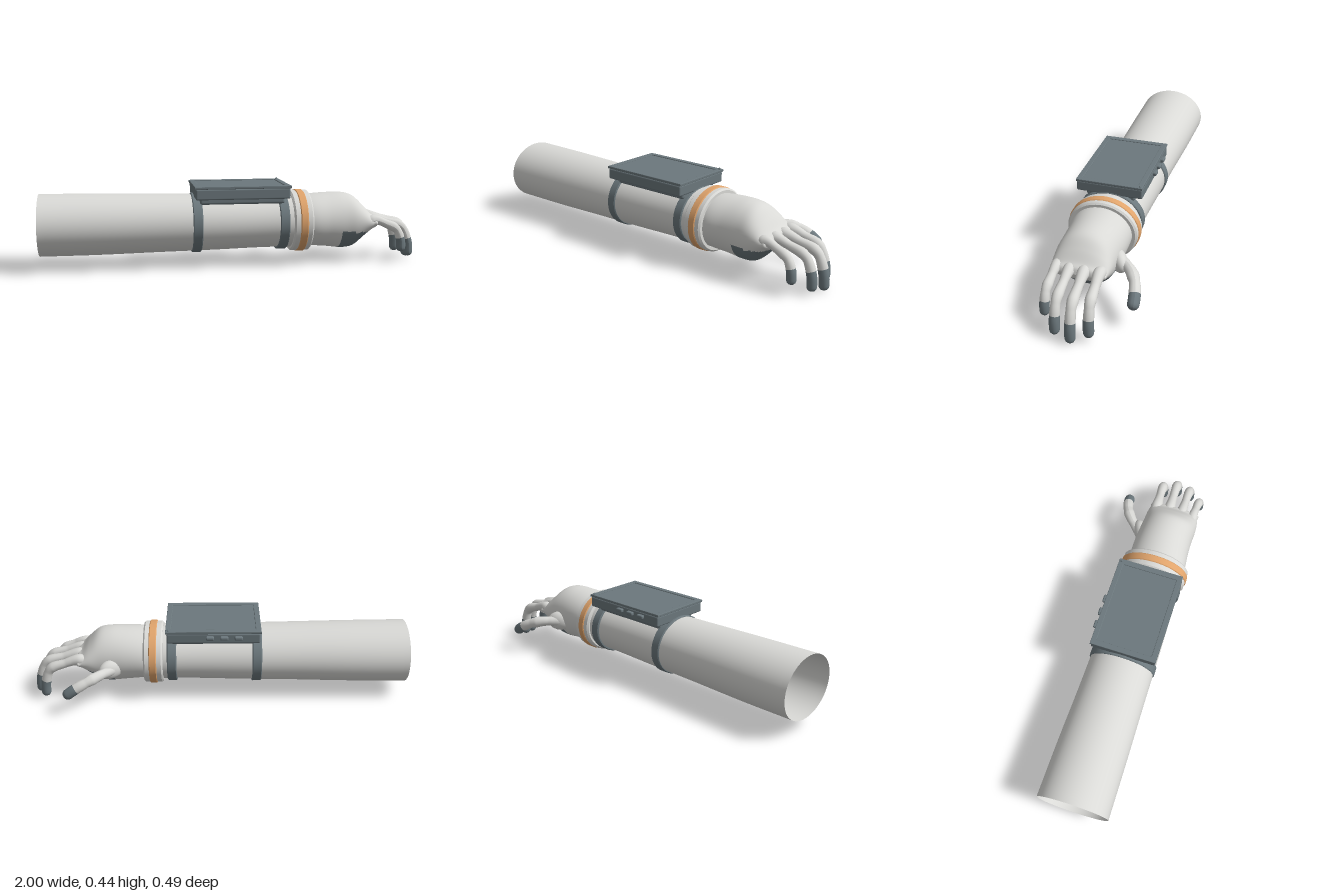
import * as THREE from 'three';
import { toCreasedNormals } from 'three/addons/utils/BufferGeometryUtils.js';
import { RoundedBoxGeometry } from 'three/addons/geometries/RoundedBoxGeometry.js';

const paint = (name, color, side = THREE.FrontSide) => {
  const m = new THREE.MeshStandardMaterial({ color, side });
  m.name = name;
  return m;
};

// Smooth loft along x through oval stations [x, top, bottom, zMin, zMax].
// isDark(x, y) sends a face to the second material.
function loft(stations, steps, isDark = () => false, sides = 64) {
  const curve = (f) => new THREE.CatmullRomCurve3(stations.map(f), false, 'catmullrom', 0.5);
  const heights = curve((s) => new THREE.Vector3(s[0], s[1], s[2]));
  const depths = curve((s) => new THREE.Vector3(s[3], s[4], 0));
  const pos = [], light = [], dark = [];
  for (let i = 0; i <= steps; i++) {
    const h = heights.getPoint(i / steps), d = depths.getPoint(i / steps);
    for (let j = 0; j < sides; j++) {
      const a = (j / sides) * Math.PI * 2;
      pos.push(h.x, (h.y + h.z) / 2 + ((h.y - h.z) / 2) * Math.cos(a),
        (d.x + d.y) / 2 + ((d.y - d.x) / 2) * Math.sin(a));
    }
  }
  for (let i = 0; i < steps; i++) {
    for (let j = 0; j < sides; j++) {
      const a = i * sides + j, b = i * sides + ((j + 1) % sides);
      const c = a + sides, d = b + sides;
      const mid = (k) => (pos[a * 3 + k] + pos[d * 3 + k]) / 2;
      (isDark(mid(0), mid(1)) ? dark : light).push(a, b, c, b, d, c);
    }
  }
  const g = new THREE.BufferGeometry();
  g.setAttribute('position', new THREE.Float32BufferAttribute(pos, 3));
  g.setIndex([...light, ...dark]);
  g.addGroup(0, light.length, 0);
  g.addGroup(light.length, dark.length, 1);
  g.computeVertexNormals();
  return g;
}

// Oval band around the arm, from x0 to x1
function band(x0, x1, ry, rz, thick, bevel = 0.004) {
  const inner = 1 - thick / ry, b = bevel / ry;
  const profile = [[inner, x0], [1 - b, x0], [1, x0 + bevel], [1, x1 - bevel], [1 - b, x1], [inner, x1], [inner, x0]]
    .map(([r, x]) => new THREE.Vector2(r, x));
  const g = new THREE.LatheGeometry(profile, 72);
  g.rotateZ(-Math.PI / 2);
  g.scale(1, ry, rz);
  g.translate(0, 0.223, 0.056);
  return toCreasedNormals(g, 0.6);
}

// Jointed digit with a rounded end; the last part takes the second material
function digit(points, width, split) {
  const curve = new THREE.CatmullRomCurve3(points.map((p) => new THREE.Vector3(...p)));
  const segs = 64, sides = 16, length = curve.getLength();
  const joints = [1.05, 1.1, 1.2, 1, 0.88, 0.95, 1.05, 0.9, 0.98, 1, 1, 0.95];
  const g = new THREE.TubeGeometry(curve, segs, 1, sides);
  const pos = g.attributes.position, nor = g.attributes.normal;
  for (let i = 0; i <= segs; i++) {
    const u = i / segs, f = u * (joints.length - 1), k = Math.min(Math.floor(f), joints.length - 2);
    let r = width * THREE.MathUtils.lerp(joints[k], joints[k + 1], f - k);
    const left = (1 - u) * length;
    if (left < r) r *= Math.sqrt(Math.max(0, 1 - (1 - left / r) ** 2));
    const c = curve.getPointAt(u);
    for (let j = 0; j <= sides; j++) {
      const n = i * (sides + 1) + j;
      pos.setXYZ(n, c.x + nor.getX(n) * r, c.y + nor.getY(n) * r, c.z + nor.getZ(n) * r);
    }
  }
  g.computeVertexNormals();
  const cut = Math.round(split * segs) * sides * 6;
  g.addGroup(0, cut, 0);
  g.addGroup(cut, g.index.count - cut, 1);
  return g;
}

export function createModel() {
  const root = new THREE.Group();
  root.name = 'armWithWristComputer';
  const white = paint('offWhiteFabric', 0xd9d9d6, THREE.DoubleSide);
  const grey = paint('slateGrey', 0x6c787d);
  const orange = paint('orangeTrim', 0xe0a46c);
  const add = (name, geometry, material, parent = root) => {
    const m = new THREE.Mesh(geometry, material);
    m.name = name;
    parent.add(m);
    return m;
  };

  // Sleeve, open at both ends
  add('sleeve', loft([
    [-1, 0.385, 0.065, -0.135, 0.241],
    [-0.7, 0.382, 0.066, -0.129, 0.237],
    [-0.4, 0.376, 0.072, -0.119, 0.231],
    [-0.1, 0.37, 0.077, -0.113, 0.227],
    [0.15, 0.366, 0.083, -0.108, 0.222],
    [0.33, 0.37, 0.082, -0.108, 0.222],
  ], 40), [white, grey]);

  // Straps and wrist cuff
  add('rearStrap', band(-0.225, -0.175, 0.156, 0.178, 0.012), grey);
  add('frontStrap', band(0.225, 0.275, 0.151, 0.174, 0.014), grey);
  add('wristCuff', band(0.298, 0.4, 0.161, 0.181, 0.022, 0.008), white);
  add('cuffStripe', band(0.33, 0.37, 0.165, 0.186, 0.008), orange);

  // Wrist computer
  const computer = new THREE.Group();
  computer.name = 'wristComputer';
  root.add(computer);
  const block = (name, w, h, d, r, x, y, z) =>
    add(name, new RoundedBoxGeometry(w, h, d, 3, r), grey, computer).position.set(x, y, z);
  block('mount', 0.44, 0.045, 0.256, 0.012, 0.033, 0.353, 0.058);
  block('case', 0.485, 0.055, 0.345, 0.008, 0.03, 0.388, 0.058);
  const lid = new THREE.Shape();
  const rect = (path, w, h) => path.moveTo(-w, -h).lineTo(w, -h).lineTo(w, h).lineTo(-w, h).closePath();
  rect(lid, 0.245, 0.17);
  const opening = new THREE.Path();
  rect(opening, 0.222, 0.148);
  lid.holes.push(opening);
  const frame = new THREE.ExtrudeGeometry(lid, {
    depth: 0.008, bevelEnabled: true, bevelSize: 0.003, bevelThickness: 0.003, bevelSegments: 2,
  });
  frame.rotateX(-Math.PI / 2);
  add('screenFrame', frame, grey, computer).position.set(0.03, 0.4175, 0.058);
  add('screen', new THREE.BoxGeometry(0.45, 0.008, 0.302), grey, computer).position.set(0.03, 0.42, 0.058);
  for (const x of [-0.1, -0.026, 0.048]) block('sideButton', 0.042, 0.02, 0.03, 0.007, x, 0.394, -0.117);
  add('indicator', new THREE.SphereGeometry(0.006, 16, 10), grey, computer).position.set(0.264, 0.43, -0.101);

  // Gloved hand with a dark palm
  const hand = new THREE.Group();
  hand.name = 'hand';
  root.add(hand);
  add('palm', loft([
    [0.35, 0.355, 0.09, -0.092, 0.205],
    [0.42, 0.364, 0.086, -0.1, 0.213],
    [0.5, 0.369, 0.079, -0.1, 0.206],
    [0.58, 0.369, 0.07, -0.095, 0.203],
    [0.64, 0.354, 0.08, -0.09, 0.205],
    [0.69, 0.31, 0.125, -0.087, 0.202],
    [0.73, 0.265, 0.165, -0.08, 0.195],
    [0.755, 0.245, 0.188, -0.07, 0.185],
    [0.765, 0.217, 0.215, 0.05, 0.06],
  ], 64, (x, y) => x > 0.56 && y < 0.17), [white, grey], hand);

  // Curled fingers: [name, knuckle z, tip z, tip x, tip y, radius]
  const fingers = [
    ['indexFinger', -0.047, -0.057, 0.935, 0.016, 0.026],
    ['middleFinger', 0.026, 0.018, 0.975, 0, 0.026],
    ['ringFinger', 0.098, 0.099, 0.957, 0.017, 0.025],
    ['littleFinger', 0.165, 0.172, 0.89, 0.057, 0.024],
  ];
  for (const [name, z0, z1, x, y, r] of fingers) {
    const at = (k) => 0.745 + (x - 0.745) * k;
    const side = (k) => z0 + (z1 - z0) * k;
    add(name, digit([
      [0.67, 0.213, z0], [0.745, 0.23, z0], [at(0.4), 0.21, side(0.4)],
      [at(0.8), 0.18, side(0.75)], [at(0.97), 0.09 + y * 0.6, side(0.9)], [x, y, z1],
    ], r, 0.76), [white, grey], hand);
  }

  // Thumb reaching out to the back, with its fleshy root
  add('thumb', digit([
    [0.53, 0.19, -0.03], [0.585, 0.197, -0.115], [0.635, 0.195, -0.165],
    [0.69, 0.18, -0.2], [0.75, 0.15, -0.218], [0.808, 0.108, -0.224],
  ], 0.029, 0.79), [white, grey], hand);
  const root2 = add('thumbRoot', new THREE.SphereGeometry(1, 24, 16), white, hand);
  root2.scale.set(0.075, 0.055, 0.04);
  root2.position.set(0.57, 0.195, -0.085);
  root2.rotation.y = 0.6;
  return root;
}
